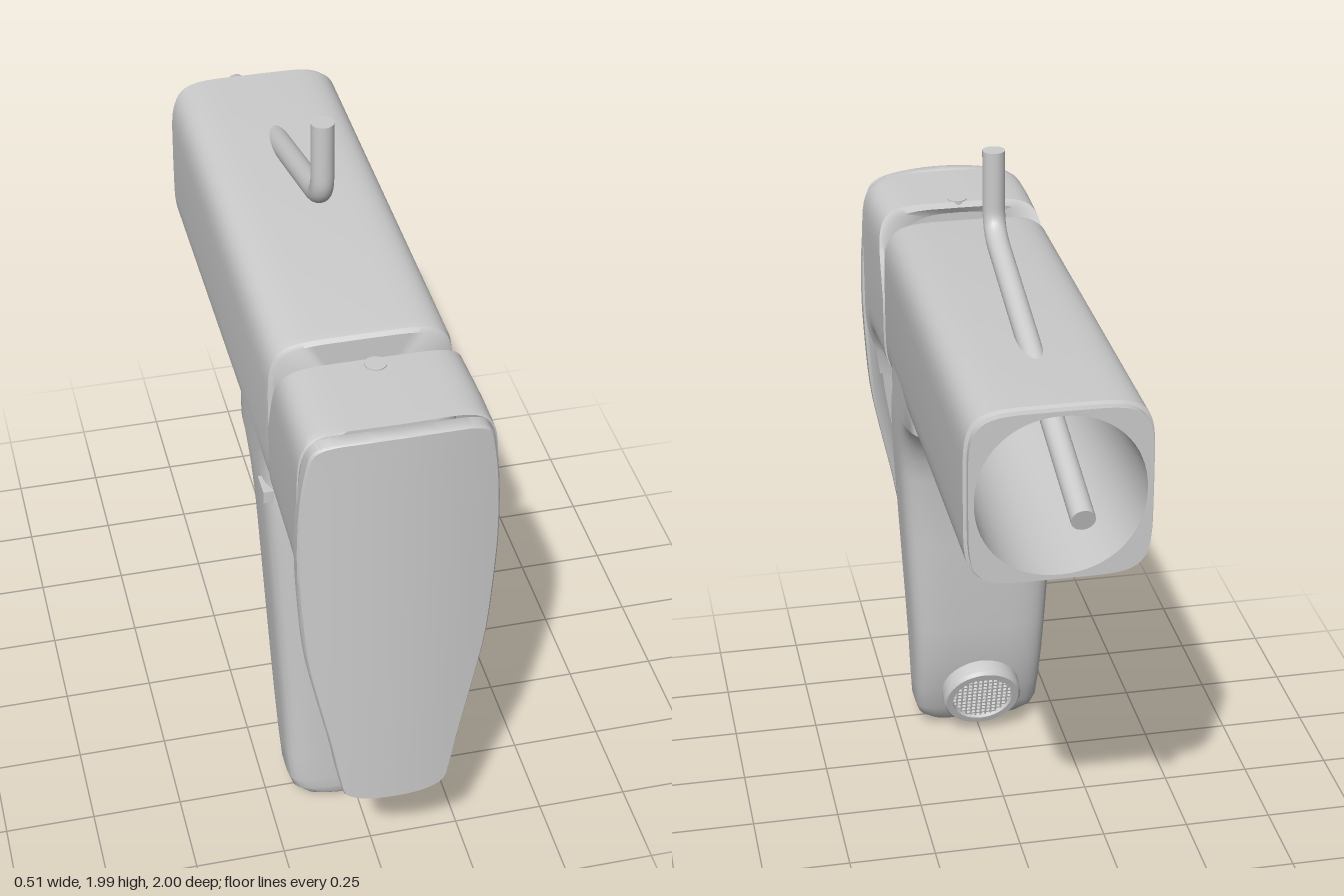
import * as THREE from 'three';
import { toCreasedNormals } from 'three/addons/utils/BufferGeometryUtils.js';

const SEG = 64;
const material = new THREE.MeshStandardMaterial({ color: 0xcccccc, side: THREE.DoubleSide });

// Point on a superellipse: n = 2 is an ellipse, larger n is squarer
function squircle(i, a, b, n) {
  const t = (i / SEG) * Math.PI * 2, c = Math.cos(t), s = Math.sin(t);
  return [a * Math.sign(c) * Math.abs(c) ** (2 / n), b * Math.sign(s) * Math.abs(s) ** (2 / n)];
}

// Cross-section facing along z
function ringZ(z, cy, rx, ry, n) {
  return Array.from({ length: SEG }, (_, i) => {
    const [x, y] = squircle(i, rx, ry, n);
    return new THREE.Vector3(x, cy + y, z);
  });
}

// Cross-section facing along y
function ringY(y, cz, rx, rz, n) {
  return Array.from({ length: SEG }, (_, i) => {
    const [x, z] = squircle(i, rx, rz, n);
    return new THREE.Vector3(x, y, cz - z);
  });
}

// Skin joining successive cross-sections
function loft(rings, crease = 0.6) {
  const index = [];
  for (let r = 0; r < rings.length - 1; r++) {
    for (let i = 0; i < SEG; i++) {
      const j = (i + 1) % SEG, a = r * SEG + i, b = r * SEG + j;
      index.push(a, b, a + SEG, b, b + SEG, a + SEG);
    }
  }
  const g = new THREE.BufferGeometry().setFromPoints(rings.flat());
  g.setIndex(index);
  return toCreasedNormals(g, crease);
}

function add(parent, name, geometry) {
  const mesh = new THREE.Mesh(geometry, material);
  mesh.name = name;
  parent.add(mesh);
  return mesh;
}

// Front faces of the handle bow back towards the sides
const bow = (x) => 0.55 * x * x;

function createHandle() {
  const handle = new THREE.Group();
  handle.name = 'handle';

  // Hollow block, open at the back, its top rear edge cut at a slant
  const slant = (ring) => ring.map((p) => p.setZ(p.z + Math.max(0, p.y - 1.4) * 0.42));
  const section = (z, bottom, rx) => ringZ(z, (1.64 + bottom) / 2, rx, (1.64 - bottom) / 2, 6);
  add(handle, 'handleBlock', loft([
    ringZ(0.85, 1.39, 0, 0, 2),
    ringZ(0.85, 1.39, 0.2, 0.2, 2),
    slant(ringZ(0.6, 1.39, 0.215, 0.215, 3)),
    slant(ringZ(0.58, 1.39, 0.232, 0.234, 5)),
    slant(section(0.58, 1.14, 0.245)),
    section(0.82, 1.14, 0.25),
    section(0.87, 1.128, 0.25),
    section(0.91, 1.1, 0.251),
    section(0.935, 1.05, 0.252),
    section(0.95, 0.97, 0.25).map((p) => p.setZ(p.z - bow(p.x) * 0.4)),
  ]));

  // Long front plate with a raised rim behind it
  const half = [[0.1, 0.428], [0.135, 0.447], [0.15, 0.5], [0.172, 0.62], [0.2, 0.75], [0.235, 0.93],
    [0.25, 1.1], [0.257, 1.26], [0.252, 1.42], [0.238, 1.54], [0.222, 1.6], [0.19, 1.622], [0.1, 1.636]];
  const outline = [[0, 0.42], ...half, [0, 1.64], ...half.map(([x, y]) => [-x, y]).reverse()];
  const curve = new THREE.CatmullRomCurve3(outline.map(([x, y]) => new THREE.Vector3(x, y, 0)), true);
  const edge = curve.getPoints(96).slice(0, -1);

  // Plate skin: rings shrink to the middle line so that the face can bow
  const contour = (z, k) => edge.map((p) => {
    const y = 1.03 + (p.y - 1.03) * (1 - (1 - k) * 0.25);
    return new THREE.Vector3(p.x * k, y, z - bow(p.x * k));
  });
  const rings = [
    contour(0.975, 0), contour(0.975, 0.5), contour(0.972, 0.82), contour(0.955, 0.9),
    contour(0.952, 0.97), contour(0.96, 1), contour(0.994, 1), contour(1, 0.98),
    contour(1, 0.75), contour(1, 0.5), contour(1, 0.25), contour(1, 0),
  ];
  const n = edge.length, index = [];
  for (let r = 0; r < rings.length - 1; r++) {
    for (let i = 0; i < n; i++) {
      const j = (i + 1) % n, a = r * n + i, b = r * n + j;
      index.push(a, b, a + n, b, b + n, a + n);
    }
  }
  const plate = new THREE.BufferGeometry().setFromPoints(rings.flat());
  plate.setIndex(index);
  add(handle, 'handlePlate', toCreasedNormals(plate, 0.6));

  // Small cap on top of the handle
  add(handle, 'topCap', new THREE.CylinderGeometry(0.028, 0.028, 0.02, 24)).position.set(0, 1.633, 0.705);
  return handle;
}

function createBody() {
  const body = new THREE.Group();
  body.name = 'body';

  // Barrel with a round cavity open at the rear
  const section = (z, k) => ringZ(z, 1.39, 0.245 * k, 0.243 * k, 5.5);
  add(body, 'barrel', loft([
    ringZ(0.08, 1.39, 0, 0, 2),
    ringZ(0.08, 1.39, 0.2, 0.2, 2),
    ringZ(-0.745, 1.39, 0.222, 0.222, 2.1),
    section(-0.745, 0.965), section(-0.722, 0.965), section(-0.718, 1),
    section(0.54, 1), section(0.562, 0.985), section(0.57, 0.94), section(0.57, 0),
  ]));

  // Spout: y, rear z, front z, half width
  const profile = [
    [0.002, 0.5, 0.53, 0], [0.004, 0.465, 0.565, 0.09], [0.02, 0.435, 0.574, 0.145],
    [0.045, 0.415, 0.577, 0.178], [0.08, 0.398, 0.578, 0.19], [0.16, 0.37, 0.578, 0.195],
    [0.27, 0.342, 0.578, 0.2], [0.4, 0.327, 0.578, 0.207], [0.7, 0.315, 0.578, 0.224],
    [0.92, 0.304, 0.578, 0.236], [0.99, 0.288, 0.578, 0.239], [1.04, 0.264, 0.578, 0.241],
    [1.08, 0.234, 0.578, 0.242], [1.11, 0.2, 0.577, 0.243], [1.135, 0.155, 0.576, 0.243],
    [1.15, 0.1, 0.575, 0.243], [1.25, 0.1, 0.572, 0.243], [1.38, 0.1, 0.568, 0.243],
    [1.38, 0.3, 0.35, 0],
  ];
  add(body, 'spout', loft(profile.map(([y, back, front, w]) =>
    ringY(y, (back + front) / 2, w, (front - back) / 2, 4.5)), 0.8));

  // Small tab on the right side below the barrel
  add(body, 'sideTab', new THREE.BoxGeometry(0.03, 0.036, 0.07)).position.set(-0.235, 1.12, 0.5);
  return body;
}

function createAerator() {
  const aerator = new THREE.Group();
  aerator.name = 'aerator';
  add(aerator, 'aeratorRing', loft([
    ringY(-0.1, 0, 0.11, 0.11, 2), ringY(-0.05, 0, 0.12, 0.12, 2), ringY(-0.01, 0, 0.12, 0.12, 2),
    ringY(0, 0, 0.112, 0.112, 2), ringY(0, 0, 0.092, 0.092, 2), ringY(-0.02, 0, 0.09, 0.09, 2),
    ringY(-0.02, 0, 0, 0, 2),
  ]));
  // Fine mesh of crossing wires
  for (let i = -5; i <= 5; i++) {
    const d = i * 0.0155, length = 2 * Math.sqrt(0.09 ** 2 - d * d);
    add(aerator, 'meshWire', new THREE.BoxGeometry(length, 0.008, 0.005)).position.set(0, -0.014, d);
    add(aerator, 'meshWire', new THREE.BoxGeometry(0.005, 0.008, length)).position.set(d, -0.014, 0);
  }
  const down = new THREE.Vector3(0, -0.33, -0.94).normalize();
  aerator.quaternion.setFromUnitVectors(new THREE.Vector3(0, 1, 0), down);
  aerator.position.set(0, 0.143, 0.33);
  return aerator;
}

// Bent rod running out of the open rear
function createRod() {
  const v = (y, z) => new THREE.Vector3(0, y, z);
  const path = new THREE.CurvePath();
  path.add(new THREE.LineCurve3(v(1.99, 0.135), v(1.83, 0.135)));
  path.add(new THREE.CubicBezierCurve3(v(1.83, 0.135), v(1.775, 0.135), v(1.752, 0.105), v(1.735, 0.04)));
  path.add(new THREE.LineCurve3(v(1.735, 0.04), v(1.45, -0.99)));
  const rod = new THREE.Group();
  rod.name = 'pullRod';
  add(rod, 'rod', new THREE.TubeGeometry(path, 90, 0.031, 20));
  const ends = [[v(1.99, 0.135), v(1, 0)], [v(1.45, -0.99), v(-0.267, -0.964)]];
  for (const [position, direction] of ends) {
    const cap = add(rod, 'rodEnd', new THREE.CircleGeometry(0.031, 20));
    cap.position.copy(position);
    cap.quaternion.setFromUnitVectors(new THREE.Vector3(0, 0, 1), direction.normalize());
  }
  return rod;
}

export function createModel() {
  const model = new THREE.Group();
  model.name = 'faucet';
  model.add(createBody(), createHandle(), createAerator(), createRod());
  return model;
}
